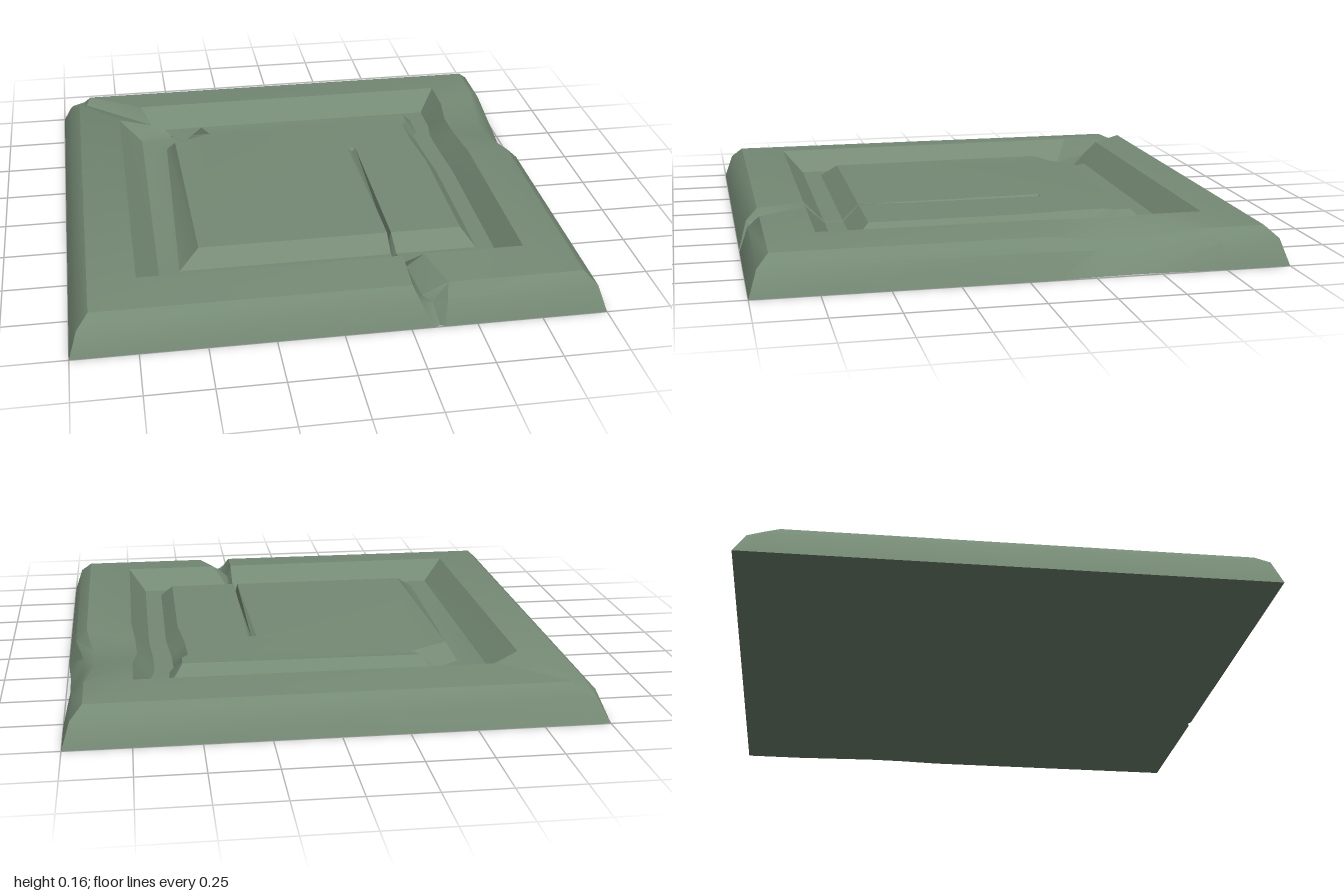
import * as THREE from 'three';
import { toCreasedNormals } from 'three/addons/utils/BufferGeometryUtils.js';

// Square rings from the foot of the slab to the raised panel.
// r: half size, y: height, cx: sideways shift
// crack: x of left lip, bottom and right lip, then depth and push inwards
// dent: push inwards and drop on the right edge
// chip: [x, z] of back lip, centre (plus y) and left lip at the back-left corner
const RINGS = [
  { r: 1, y: 0, cx: 0, crack: [0.34, 0.36, 0.38, 0, 0.01], dent: [0.015, 0],
    chip: [[-0.95, -1], [-1, -1, 0], [-1, -0.95]] },
  { r: 0.967, y: 0.1, cx: 0, crack: [0.285, 0.34, 0.39, 0.03, 0.03], dent: [0.04, 0.02],
    chip: [[-0.9, -0.967], [-0.955, -0.955, 0.09], [-0.967, -0.9]] },
  { r: 0.922, y: 0.143, cx: 0, crack: [0.265, 0.305, 0.4, 0.055, 0.01], dent: [0.035, 0.035],
    chip: [[-0.87, -0.922], [-0.89, -0.89, 0.118], [-0.922, -0.84]] },
  { r: 0.74, y: 0.16, cx: 0, crack: [0.268, 0.284, 0.35, 0.05, 0], dent: [0.018, 0.01],
    chip: [[-0.64, -0.74], [-0.6, -0.655, 0.105], [-0.745, -0.615]] },
  { r: 0.66, y: 0.075, cx: 0.01, crack: [0.264, 0.274, 0.286, 0.025, 0], dent: [0.015, 0],
    chip: [[-0.57, -0.66], [-0.515, -0.59, 0.073], [-0.65, -0.555]] },
  { r: 0.585, y: 0.075, cx: 0.015, crack: [0.258, 0.268, 0.28, 0.025, 0], dent: [0.02, 0],
    chip: [[-0.42, -0.585], [-0.46, -0.52, 0.075], [-0.545, -0.46]] },
  { r: 0.52, y: 0.135, cx: 0.03, crack: [0.254, 0.261, 0.27, 0.045, 0], dent: [0.025, 0],
    chip: [[-0.38, -0.535], [-0.35, -0.475, 0.13], [-0.51, -0.4]] },
];

// One ring of corners, anticlockwise from above, starting at the front left
function ringPoints({ r, y, cx, crack, dent, chip }) {
  const v = (x, z, h = y) => new THREE.Vector3(x, h, z);
  const [a, b, c, depth, inset] = crack;
  const [push, drop] = dent;
  const k = Math.max(r, 0.6);
  return [
    v(cx - r, r), v(a, r), v(b, r - inset, y - depth), v(c, r), v(cx + r, r),
    v(cx + r, -0.1 * k),
    v(cx + r - push * 0.8, -0.27, y - drop * 0.8),
    v(cx + r - push, -0.42, y - drop),
    v(cx + r, -0.76 * k),
    v(cx + r, -r),
    v(...chip[0]), v(...chip[1]), v(...chip[2]),
  ];
}

function band(tris, outer, inner) {
  const n = outer.length;
  for (let j = 0; j < n; j++) {
    const k = (j + 1) % n;
    tris.push(outer[j], outer[k], inner[k], outer[j], inner[k], inner[j]);
  }
}

function cap(tris, points, down = false) {
  const flat = points.map((p) => new THREE.Vector2(p.x, -p.z));
  for (const [a, b, c] of THREE.ShapeUtils.triangulateShape(flat, [])) {
    tris.push(points[a], points[down ? c : b], points[down ? b : c]);
  }
}

function quad(tris, a, b, c, d) {
  tris.push(a, b, c, a, c, d);
}

export function createModel() {
  const group = new THREE.Group();
  group.name = 'stoneTile';
  const stone = new THREE.MeshStandardMaterial({ color: 0x758a75 });
  stone.name = 'mossy green stone';

  const add = (name, tris) => {
    const geometry = new THREE.BufferGeometry().setFromPoints(tris);
    const mesh = new THREE.Mesh(toCreasedNormals(geometry, 0.5), stone);
    mesh.name = name;
    group.add(mesh);
  };

  const rings = RINGS.map(ringPoints);
  const bands = (from, to) => {
    const tris = [];
    for (let i = from; i < to; i++) band(tris, rings[i], rings[i + 1]);
    return tris;
  };

  // Rounded rim and the sunken channel inside it
  add('outerRim', bands(0, 3));
  add('sunkenChannel', bands(3, 5));

  // Raised panel, slit open where the crack runs in from the front
  const panel = bands(5, 6);
  const top = rings[6];
  const tipLeft = new THREE.Vector3(0.237, 0.135, -0.23);
  const tipRight = new THREE.Vector3(0.27, 0.135, -0.23);
  const tipBottom = new THREE.Vector3(0.255, 0.12, -0.22);
  cap(panel, [top[0], top[1], tipLeft, tipRight, ...top.slice(3)]);
  add('raisedPanel', panel);

  // Walls of the slit
  const slit = [];
  quad(slit, top[1], top[2], tipBottom, tipLeft);
  quad(slit, top[2], top[3], tipRight, tipBottom);
  slit.push(tipBottom, tipRight, tipLeft);
  add('panelCrack', slit);

  // Flat underside
  const base = [];
  cap(base, rings[0], true);
  add('underside', base);

  return group;
}
